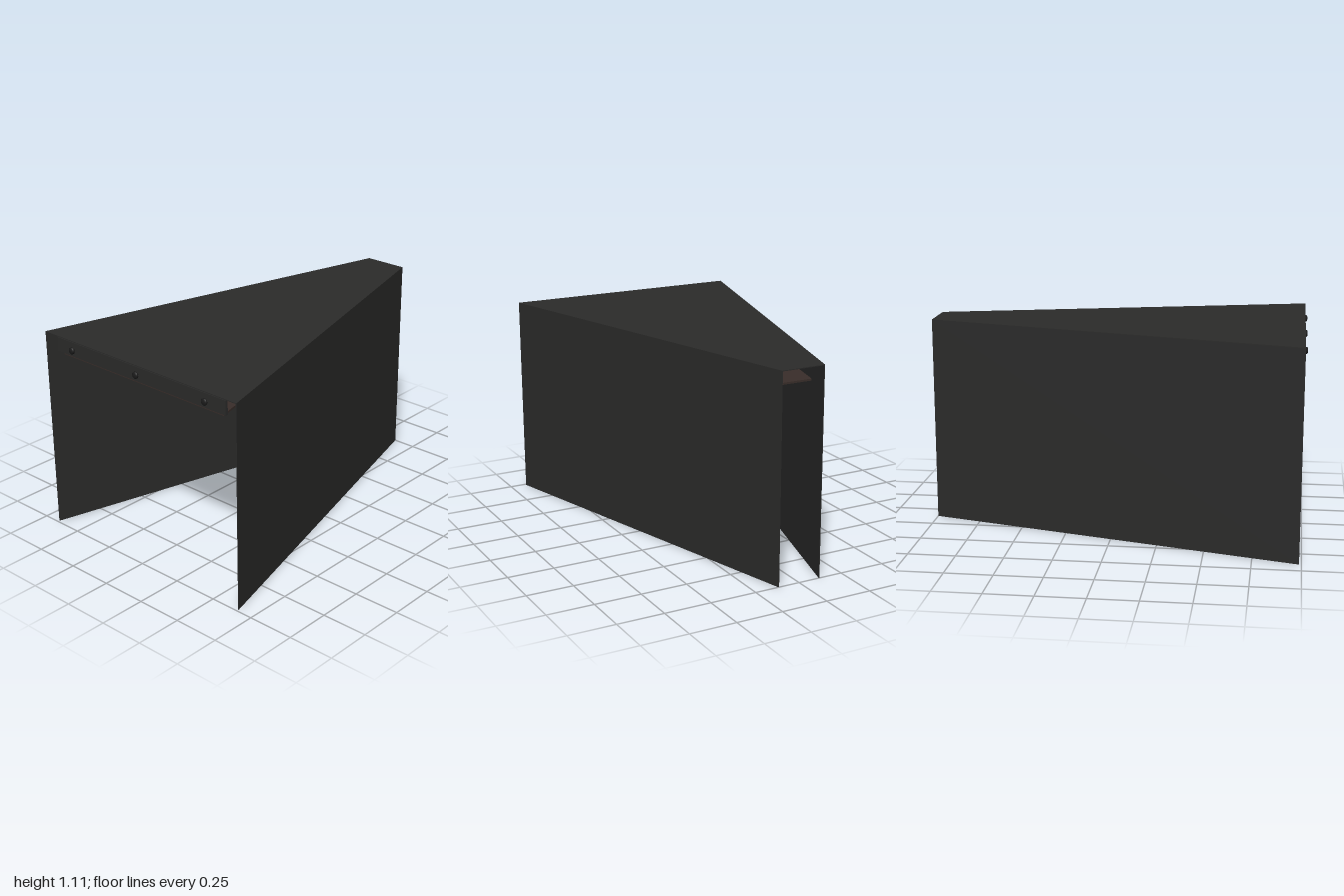
import * as THREE from 'three';

const HEIGHT = 1.105, BACK = -1, FRONT = 0.988, HALF_BACK = 0.12, HALF_FRONT = 0.66, SHEET = 0.004;

const mat = (color) => new THREE.MeshStandardMaterial({ color, side: THREE.DoubleSide });

function add(parent, name, geometry, material) {
  const mesh = new THREE.Mesh(geometry, material);
  mesh.name = name;
  parent.add(mesh);
  return mesh;
}

// Horizontal tapered board, narrow at the back
function taperedBoard(halfBack, halfFront, zBack, zFront, yTop, thickness) {
  const shape = new THREE.Shape([
    new THREE.Vector2(-halfBack, zBack), new THREE.Vector2(halfBack, zBack),
    new THREE.Vector2(halfFront, zFront), new THREE.Vector2(-halfFront, zFront),
  ]);
  const g = new THREE.ExtrudeGeometry(shape, { depth: thickness, bevelEnabled: false });
  return g.rotateX(Math.PI / 2).translate(0, yTop, 0);
}

// Upright side panel following the taper
function sidePanel(side) {
  const shape = new THREE.Shape([
    new THREE.Vector2(side * HALF_BACK, BACK),
    new THREE.Vector2(side * HALF_FRONT, FRONT),
    new THREE.Vector2(side * (HALF_FRONT - SHEET), FRONT),
    new THREE.Vector2(side * (HALF_BACK - SHEET), BACK),
  ]);
  const g = new THREE.ExtrudeGeometry(shape, { depth: HEIGHT - SHEET, bevelEnabled: false });
  return g.rotateX(Math.PI / 2).translate(0, HEIGHT - SHEET, 0);
}

export function createModel() {
  const group = new THREE.Group();
  group.name = 'taperedDesk';
  const body = mat(0x2b2b2a), wood = mat(0x3a2e2a), dark = mat(0x1c1c1c);

  // Desk top and sides
  add(group, 'deskTop', taperedBoard(HALF_BACK, HALF_FRONT, BACK, FRONT, HEIGHT, SHEET), body);
  add(group, 'rightSide', sidePanel(-1), body);
  add(group, 'leftSide', sidePanel(1), body);

  // Drawer front with the shelf beneath it
  add(group, 'drawerFront', new THREE.BoxGeometry(1.165, 0.076, 0.015), body).position.set(0, 1.053, 0.97);
  add(group, 'shelf', taperedBoard(0.117, 0.555, -0.89, 0.96, 1.009, 0.01), wood);

  // Three round knobs
  const profile = [[0.007, 0], [0.007, 0.01], [0.018, 0.013], [0.018, 0.02], [0.012, 0.024], [0, 0.025]]
    .map(([r, h]) => new THREE.Vector2(r, h));
  for (const x of [-0.46, 0, 0.46]) {
    const g = new THREE.LatheGeometry(profile, 16).rotateX(Math.PI / 2);
    add(group, 'knob', g, dark).position.set(x, 1.053, 0.975);
  }
  return group;
}
